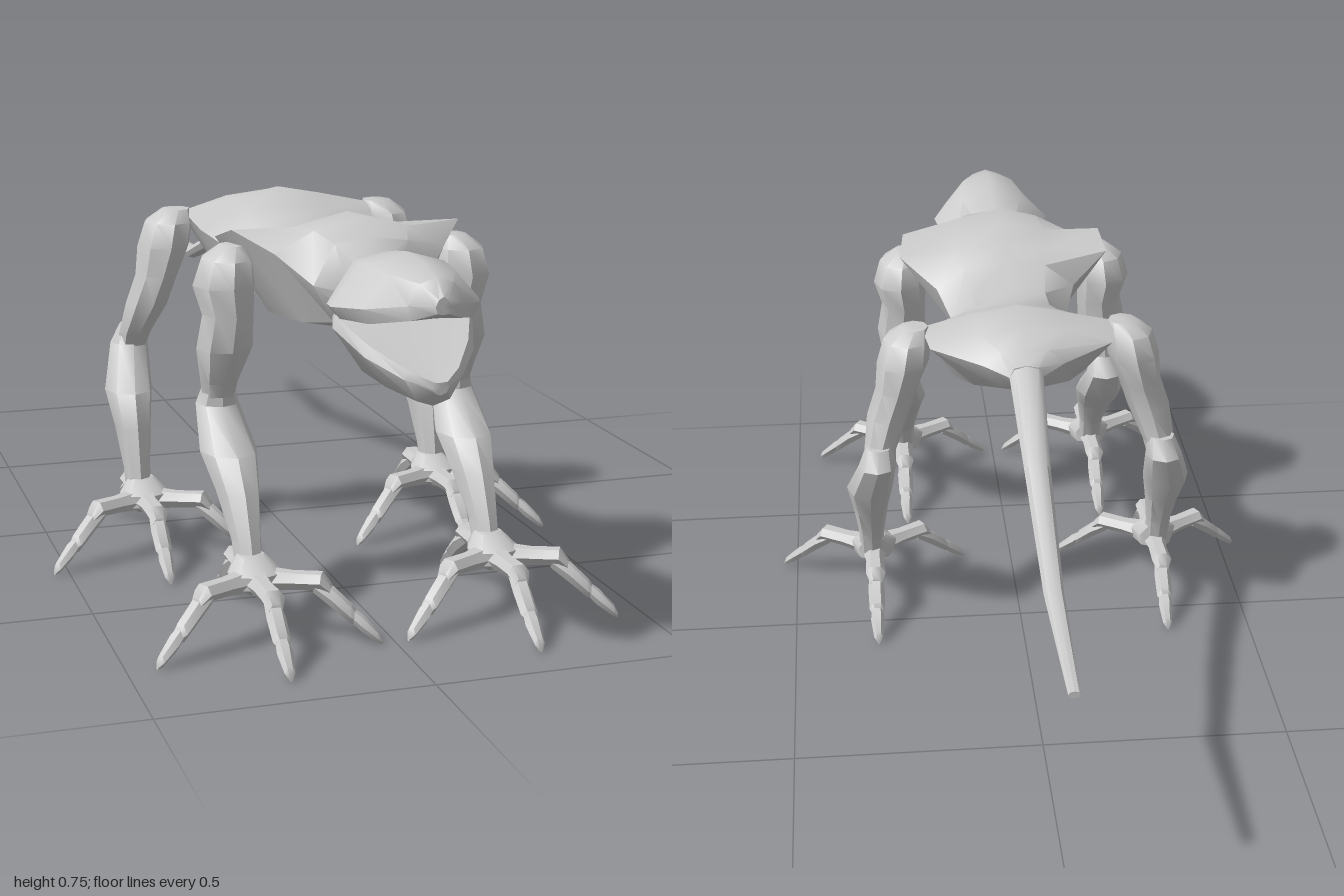
import * as THREE from 'three';
import { mergeVertices, toCreasedNormals } from 'three/addons/utils/BufferGeometryUtils.js';

const material = new THREE.MeshStandardMaterial({ color: 0xcccccc });
const V = (x, y, z) => new THREE.Vector3(x, y, z);

// Skin a list of equal-sized rings and close both ends.
function loft(name, rings, crease = 0.75) {
  const n = rings[0].length, pos = [], idx = [];
  rings.forEach(r => r.forEach(p => pos.push(p.x, p.y, p.z)));
  for (let i = 0; i < rings.length - 1; i++) {
    for (let j = 0; j < n; j++) {
      const a = i * n + j, b = i * n + (j + 1) % n;
      idx.push(a, b, a + n, b, b + n, a + n);
    }
  }
  [0, rings.length - 1].forEach(i => {
    const c = rings[i].reduce((s, p) => s.add(p), V(0, 0, 0)).divideScalar(n);
    const k = pos.length / 3;
    pos.push(c.x, c.y, c.z);
    for (let j = 0; j < n; j++) {
      const a = i * n + j, b = i * n + (j + 1) % n;
      if (i === 0) idx.push(k, b, a); else idx.push(k, a, b);
    }
  });
  // Face the skin outward whichever way the rings run.
  const at = i => V(pos[3 * i], pos[3 * i + 1], pos[3 * i + 2]);
  let volume = 0;
  for (let i = 0; i < idx.length; i += 3) volume += at(idx[i]).dot(at(idx[i + 1]).cross(at(idx[i + 2])));
  if (volume < 0) idx.reverse();
  let geo = new THREE.BufferGeometry();
  geo.setAttribute('position', new THREE.Float32BufferAttribute(pos, 3));
  geo.setIndex(idx);
  geo = mergeVertices(geo, 1e-5);
  const mesh = new THREE.Mesh(toCreasedNormals(geo, crease), material);
  mesh.name = name;
  return mesh;
}

// Mirrored cross-section: [z, topY, x,y, x,y, x,y, bottomY]
function mirrored([z, top, ...rest]) {
  const bottom = rest.pop(), side = [];
  for (let i = 0; i < rest.length; i += 2) side.push(V(rest[i], rest[i + 1], z));
  const other = side.map(p => V(-p.x, p.y, z)).reverse();
  return [V(0, top, z), ...side, V(0, bottom, z), ...other];
}

// Level oval rings for limbs: [x, y, z, rx, rz]
function limbRing([x, y, z, rx, rz], n = 8) {
  return Array.from({ length: n }, (_, i) => {
    const a = i / n * Math.PI * 2;
    return V(x + rx * Math.cos(a), y, z + rz * Math.sin(a));
  });
}

// Upright rings that run forward along z: [y, z, half width, half height]
function forwardRing([y, z, w, h], n = 6) {
  return Array.from({ length: n }, (_, i) => {
    const a = i / n * Math.PI * 2;
    return V(w * Math.cos(a), y + h * Math.sin(a), z);
  });
}

// Foot: palm and four stepped toes with claws
function makeFoot(name, x, z) {
  const foot = new THREE.Group();
  foot.name = name;
  foot.position.set(x, 0, z);
  foot.add(loft('palm', [[0, 0.15, -0.02, 0.026, 0.032], [0, 0.125, 0, 0.05, 0.05],
    [0, 0.1, 0, 0.045, 0.05], [0, 0.085, 0, 0.02, 0.025]].map(r => limbRing(r))));
  const toes = [['forwardToe', 0, 0.235], ['outerToe', 1.06, 0.24], ['innerToe', -1.06, 0.24], ['backToe', Math.PI, 0.245]];
  for (const [toeName, angle, length] of toes) {
    const toe = new THREE.Group();
    toe.name = toeName;
    const s = length / 0.235;
    toe.add(loft('toeBone', [[0.11, 0, 0.03, 0.025], [0.112, 0.07, 0.02, 0.018],
      [0.115, 0.125, 0.022, 0.017], [0.098, 0.142, 0.013, 0.012]].map(([y, d, w, h]) => forwardRing([y, d * s, w, h]))));
    toe.add(loft('middleJoint', [[0.107, 0.11, 0.014, 0.016], [0.085, 0.145, 0.018, 0.02],
      [0.055, 0.18, 0.017, 0.018], [0.048, 0.19, 0.01, 0.01]].map(([y, d, w, h]) => forwardRing([y, d * s, w, h]))));
    toe.add(loft('claw', [[0.062, 0.17, 0.011, 0.013], [0.04, 0.198, 0.015, 0.016],
      [0.015, 0.228, 0.01, 0.011], [0.006, 0.236, 0.003, 0.004]].map(([y, d, w, h]) => forwardRing([y, d * s, w, h]))));
    toe.rotation.y = angle;
    foot.add(toe);
  }
  return foot;
}

function makeLeg(name, upper, lower, footX, footZ) {
  const leg = new THREE.Group();
  leg.name = name;
  leg.add(loft('upperLeg', upper.map(r => limbRing(r))));
  leg.add(loft('lowerLeg', lower.map(r => limbRing(r))));
  leg.add(makeFoot('foot', footX, footZ));
  return leg;
}

export function createModel() {
  const model = new THREE.Group();
  model.name = 'lizard';

  // Torso, from the rump to the neck
  model.add(loft('torso', [
    [-0.14, 0.68, 0.025, 0.675, 0.035, 0.655, 0.02, 0.635, 0.63],
    [-0.09, 0.695, 0.05, 0.69, 0.085, 0.66, 0.05, 0.61, 0.6],
    [-0.03, 0.715, 0.09, 0.705, 0.19, 0.675, 0.1, 0.59, 0.58],
    [0.05, 0.732, 0.09, 0.715, 0.205, 0.69, 0.14, 0.575, 0.565],
    [0.12, 0.705, 0.09, 0.69, 0.185, 0.66, 0.13, 0.555, 0.55],
    [0.18, 0.685, 0.08, 0.675, 0.13, 0.62, 0.1, 0.55, 0.54],
    [0.27, 0.67, 0.08, 0.665, 0.125, 0.6, 0.1, 0.535, 0.52],
    [0.37, 0.695, 0.09, 0.69, 0.155, 0.64, 0.11, 0.54, 0.52],
    [0.42, 0.73, 0.1, 0.71, 0.235, 0.7, 0.13, 0.55, 0.525],
    [0.5, 0.75, 0.1, 0.725, 0.225, 0.725, 0.13, 0.555, 0.53],
    [0.58, 0.75, 0.09, 0.73, 0.165, 0.69, 0.11, 0.56, 0.54],
    [0.64, 0.725, 0.07, 0.715, 0.11, 0.64, 0.07, 0.57, 0.56],
    [0.68, 0.69, 0.04, 0.68, 0.055, 0.63, 0.04, 0.58, 0.57],
  ].map(mirrored)));

  // Tail
  model.add(loft('tail', [[0.665, -0.08, 0.04, 0.03], [0.655, -0.14, 0.035, 0.024], [0.56, -0.37, 0.026, 0.02],
    [0.465, -0.67, 0.019, 0.015], [0.466, -0.997, 0.011, 0.007]].map(r => forwardRing(r, 8))));

  // Head: skull with upper snout, and an open lower jaw
  const head = new THREE.Group();
  head.name = 'head';
  head.add(loft('skull', [
    [0.65, 0.685, 0.03, 0.68, 0.05, 0.63, 0.04, 0.58, 0.57],
    [0.7, 0.708, 0.055, 0.695, 0.09, 0.63, 0.07, 0.57, 0.56],
    [0.77, 0.722, 0.07, 0.705, 0.128, 0.635, 0.1, 0.6, 0.59],
    [0.82, 0.73, 0.07, 0.71, 0.137, 0.64, 0.12, 0.618, 0.62],
    [0.9, 0.725, 0.06, 0.707, 0.105, 0.65, 0.095, 0.624, 0.628],
    [0.965, 0.712, 0.03, 0.702, 0.05, 0.665, 0.045, 0.64, 0.642],
    [0.998, 0.685, 0.008, 0.68, 0.014, 0.668, 0.01, 0.656, 0.654],
  ].map(mirrored)));
  head.add(loft('lowerJaw', [
    [0.65, 0.63, 0.03, 0.62, 0.05, 0.59, 0.035, 0.54, 0.535],
    [0.72, 0.65, 0.08, 0.64, 0.1, 0.6, 0.06, 0.525, 0.515],
    [0.81, 0.615, 0.125, 0.62, 0.13, 0.6, 0.075, 0.52, 0.5],
    [0.89, 0.578, 0.09, 0.583, 0.1, 0.565, 0.06, 0.51, 0.493],
    [0.96, 0.55, 0.045, 0.553, 0.052, 0.538, 0.03, 0.5, 0.49],
    [0.993, 0.538, 0.012, 0.539, 0.016, 0.53, 0.01, 0.52, 0.516],
  ].map(mirrored)));
  model.add(head);

  // Legs
  for (const side of [1, -1]) {
    const label = side > 0 ? 'left' : 'right';
    const place = rows => rows.map(([x, ...rest]) => [side * x, ...rest]);
    model.add(makeLeg(label + 'FrontLeg', place([
      [0.22, 0.695, 0.485, 0.025, 0.03], [0.23, 0.67, 0.485, 0.05, 0.06], [0.235, 0.62, 0.48, 0.06, 0.075],
      [0.228, 0.565, 0.485, 0.05, 0.062], [0.235, 0.5, 0.485, 0.055, 0.06], [0.24, 0.43, 0.465, 0.037, 0.036],
      [0.24, 0.39, 0.455, 0.03, 0.03],
    ]), place([
      [0.24, 0.43, 0.46, 0.03, 0.03], [0.24, 0.385, 0.445, 0.042, 0.045], [0.237, 0.31, 0.515, 0.055, 0.07],
      [0.235, 0.25, 0.572, 0.042, 0.055], [0.235, 0.17, 0.63, 0.028, 0.035], [0.235, 0.11, 0.655, 0.026, 0.03],
    ]), side * 0.235, 0.68));
    model.add(makeLeg(label + 'RearLeg', place([
      [0.22, 0.695, 0.045, 0.03, 0.03], [0.235, 0.67, 0.045, 0.05, 0.06], [0.245, 0.62, 0.04, 0.055, 0.072],
      [0.26, 0.56, 0.04, 0.045, 0.062], [0.28, 0.5, 0.035, 0.045, 0.058], [0.3, 0.43, 0.005, 0.034, 0.036],
      [0.305, 0.39, -0.01, 0.028, 0.028],
    ]), place([
      [0.303, 0.445, -0.01, 0.028, 0.03], [0.308, 0.405, -0.02, 0.04, 0.046], [0.325, 0.32, 0.045, 0.05, 0.066],
      [0.325, 0.25, 0.082, 0.038, 0.05], [0.325, 0.17, 0.115, 0.028, 0.034], [0.325, 0.11, 0.13, 0.026, 0.03],
    ]), side * 0.32, 0.15));
  }
  return model;
}
